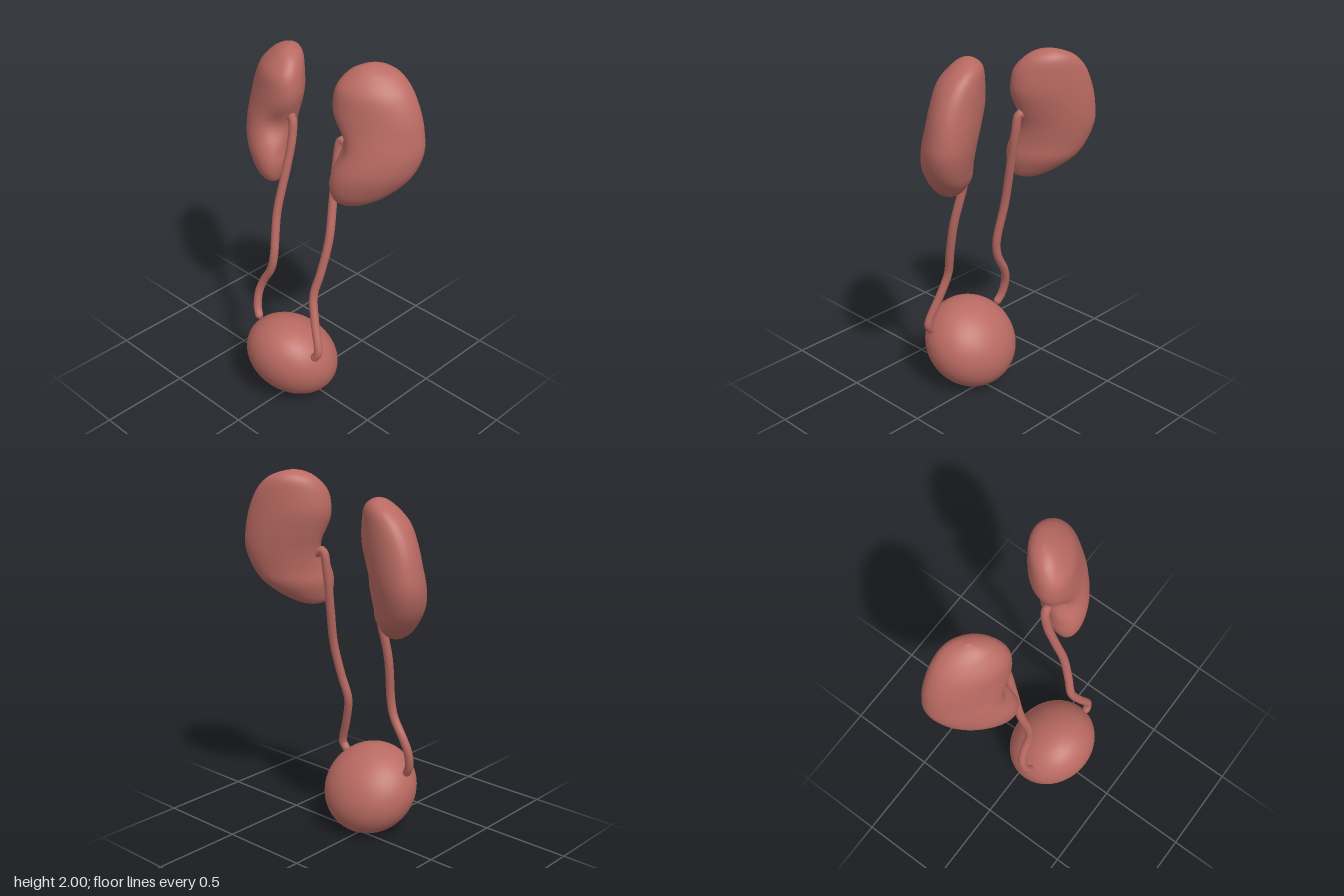
import * as THREE from 'three';

const material = new THREE.MeshStandardMaterial({ color: 0xb96a62 });
const V = (x, y, z) => new THREE.Vector3(x, y, z);

// Kidney sections from bottom to top: height, x range, z range
const SECTIONS = [
  [1.267, 0.285, 0.285, -0.06, -0.06],
  [1.285, 0.225, 0.35, -0.12, 0.0],
  [1.33, 0.2, 0.425, -0.19, 0.035],
  [1.40, 0.187, 0.495, -0.26, 0.05],
  [1.48, 0.195, 0.545, -0.295, 0.045],
  [1.58, 0.19, 0.57, -0.32, 0.02],
  [1.68, 0.165, 0.56, -0.325, 0.0],
  [1.78, 0.14, 0.535, -0.32, -0.01],
  [1.88, 0.15, 0.485, -0.31, -0.025],
  [1.95, 0.185, 0.415, -0.29, -0.08],
  [1.985, 0.235, 0.345, -0.25, -0.13],
  [2.0, 0.285, 0.285, -0.19, -0.19],
];

// Bean-shaped loft of slanted ellipses with a hollow on the inner side
function kidneyGeometry(side, drop) {
  const centres = new THREE.CatmullRomCurve3(
    SECTIONS.map(([y, x0, x1, z0, z1]) => V((x0 + x1) / 2, y, (z0 + z1) / 2)), false, 'catmullrom');
  const halves = new THREE.CatmullRomCurve3(
    SECTIONS.map(([, x0, x1, z0, z1]) => V((x1 - x0) / 2, 0, (z1 - z0) / 2)), false, 'catmullrom');
  const rows = 44, cols = 40, slant = 1.1, inner = Math.PI - slant / 2;
  const positions = [], index = [];
  for (let i = 0; i <= rows; i++) {
    const c = centres.getPoint(i / rows), h = halves.getPoint(i / rows);
    const level = Math.exp(-(((c.y - 1.6) / 0.085) ** 2));
    for (let j = 0; j < cols; j++) {
      const t = (j / cols) * Math.PI * 2;
      const r = 1 - 0.22 * level * Math.exp(-(((t - inner) / 0.55) ** 2));
      positions.push(
        side * (c.x + h.x * r * Math.cos(t)),
        c.y - drop,
        c.z - h.z * r * Math.cos(t + slant));
      if (i === rows) continue;
      const k = (j + 1) % cols;
      const a = i * cols + j, b = a + cols, d = i * cols + k, e = d + cols;
      if (side > 0) index.push(a, b, d, b, e, d);
      else index.push(a, d, b, b, d, e);
    }
  }
  const geometry = new THREE.BufferGeometry();
  geometry.setAttribute('position', new THREE.Float32BufferAttribute(positions, 3));
  geometry.setIndex(index);
  geometry.computeVertexNormals();
  return geometry;
}

function addMesh(parent, name, geometry) {
  const mesh = new THREE.Mesh(geometry, material);
  mesh.name = name;
  parent.add(mesh);
  return mesh;
}

// Thin duct with rounded ends
function ureter(name, points) {
  const group = new THREE.Group();
  group.name = name;
  const radius = 0.023;
  const path = new THREE.CatmullRomCurve3(points.map((p) => V(...p)));
  addMesh(group, 'duct', new THREE.TubeGeometry(path, 90, radius, 12));
  for (const end of [0, 1]) {
    addMesh(group, 'ductEnd', new THREE.SphereGeometry(radius, 12, 8))
      .position.copy(path.getPoint(end));
  }
  return group;
}

export function createModel() {
  const model = new THREE.Group();
  model.name = 'urinarySystem';

  // Kidneys, the right one sitting lower
  addMesh(model, 'leftKidney', kidneyGeometry(1, 0));
  addMesh(model, 'rightKidney', kidneyGeometry(-1, 0.075));

  // Ureters, from kidney to bladder
  model.add(ureter('leftUreter', [
    [0.215, 1.56, -0.1], [0.175, 1.58, -0.095], [0.163, 1.45, -0.075], [0.18, 1.25, -0.035],
    [0.2, 1.05, 0.01], [0.187, 0.86, 0.055], [0.17, 0.72, 0.09], [0.21, 0.58, 0.12],
    [0.258, 0.46, 0.145], [0.265, 0.42, 0.15], [0.245, 0.385, 0.155],
  ]));
  model.add(ureter('rightUreter', [
    [-0.2, 1.57, -0.1], [-0.172, 1.58, -0.095], [-0.16, 1.47, -0.08], [-0.168, 1.3, -0.045],
    [-0.185, 1.05, 0.01], [-0.168, 0.8, 0.055], [-0.185, 0.71, 0.06], [-0.245, 0.6, 0.065],
    [-0.268, 0.52, 0.08], [-0.26, 0.43, 0.1], [-0.238, 0.39, 0.11],
  ]));

  // Bladder, a slightly flattened ball leaning forward
  const bladder = addMesh(model, 'bladder', new THREE.SphereGeometry(1, 48, 32));
  bladder.scale.set(0.266, 0.264, 0.214);
  bladder.rotation.x = Math.PI / 4;
  bladder.position.set(0.003, 0.243, 0.0875);

  return model;
}
